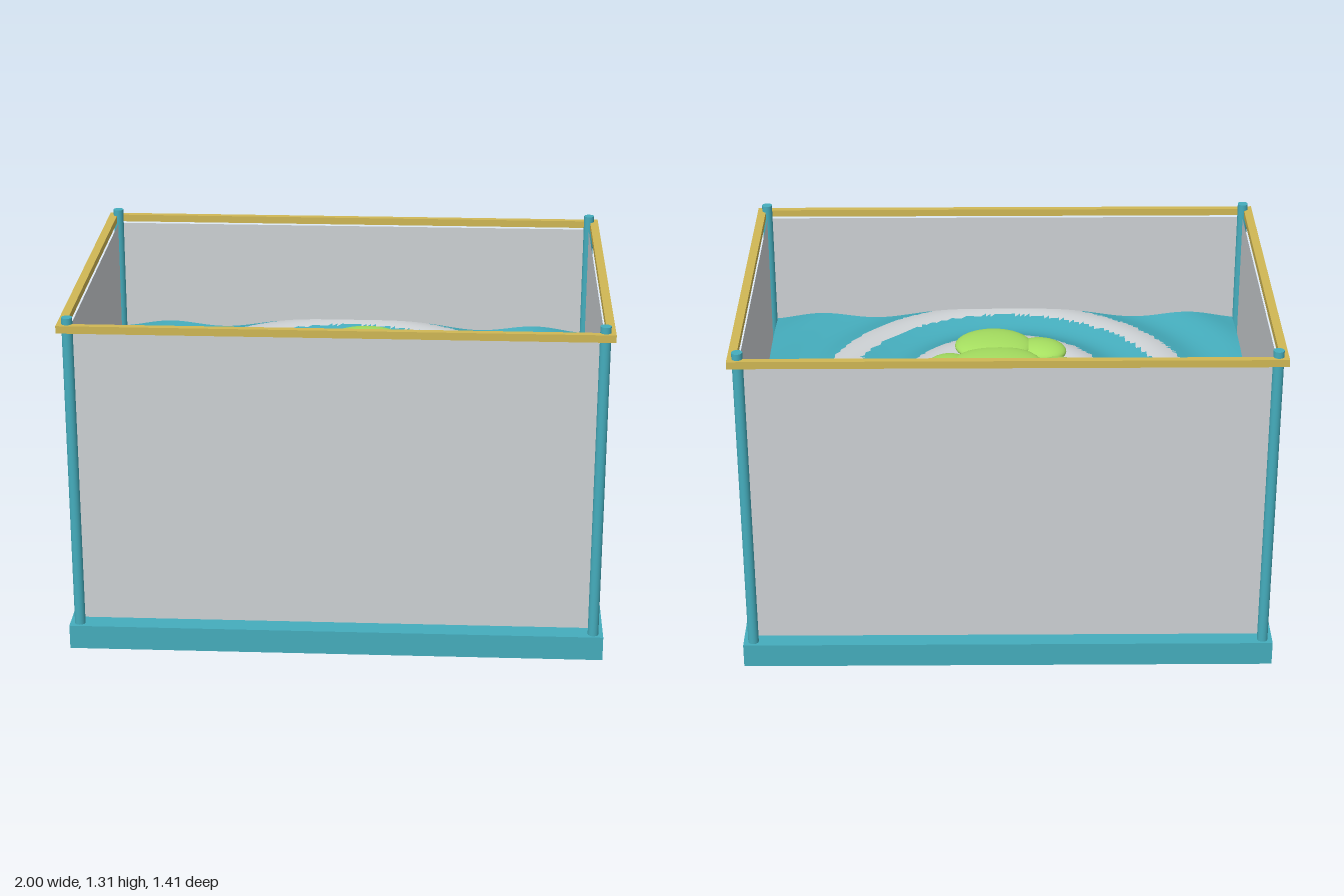
import * as THREE from 'three';

const mat = (name, color, side = THREE.FrontSide) => {
  const m = new THREE.MeshStandardMaterial({ color, side });
  m.name = name;
  return m;
};

export function createModel() {
  const model = new THREE.Group();
  const teal = mat('teal', 0x45adbd);
  const tealSheet = mat('teal water', 0x45adbd, THREE.DoubleSide);
  const paleSheet = mat('pale grey', 0xced2d5, THREE.DoubleSide);
  const gold = mat('gold', 0xd0b855);
  const green = mat('leaf green', 0xa6df60);
  const brown = mat('dark brown', 0x5c5250, THREE.DoubleSide);

  const add = (name, geometry, material, x = 0, y = 0, z = 0) => {
    const mesh = new THREE.Mesh(geometry, material);
    mesh.name = name;
    mesh.position.set(x, y, z);
    model.add(mesh);
    return mesh;
  };

  // Base slab
  add('base', new THREE.BoxGeometry(2, 0.093, 1.41), teal, 0, 0.0465, 0);

  // Corner posts
  for (const sx of [-1, 1]) for (const sz of [-1, 1])
    add('cornerPost', new THREE.CylinderGeometry(0.02, 0.02, 1.22, 24), teal, sx * 0.963, 0.7, sz * 0.675);

  // Wall panels and top rails
  for (const s of [-1, 1]) {
    add('longPanel', new THREE.PlaneGeometry(1.92, 1.135), paleSheet, 0, 0.685, s * 0.675);
    add('shortPanel', new THREE.PlaneGeometry(1.35, 1.135), paleSheet, s * 0.963, 0.685, 0)
      .rotation.y = Math.PI / 2;
    add('longRail', new THREE.BoxGeometry(2, 0.028, 0.026), gold, 0, 1.272, s * 0.692);
    add('shortRail', new THREE.BoxGeometry(0.032, 0.028, 1.41), gold, s * 0.984, 1.272, 0);
  }

  // Thin uneven floor sheet just above the base
  const floor = new THREE.PlaneGeometry(1.88, 1.31, 40, 28).rotateX(-Math.PI / 2);
  const fp = floor.attributes.position;
  for (let i = 0; i < fp.count; i++)
    fp.setY(i, 0.114 + 0.004 * Math.sin(fp.getX(i) * 9) * Math.cos(fp.getZ(i) * 11));
  floor.computeVertexNormals();
  add('floorSheet', floor, brown);

  // Rippled water, higher in the middle, with two pale crest rings
  const water = new THREE.PlaneGeometry(1.88, 1.31, 94, 66).rotateX(-Math.PI / 2);
  const p = water.attributes.position;
  for (let i = 0; i < p.count; i++) {
    const r = Math.hypot(p.getX(i), p.getZ(i));
    p.setY(i, 0.82 + 0.045 * Math.exp(-r * r / 0.5)
      + 0.026 * Math.exp(-r * 0.8) * Math.cos(2 * Math.PI * r / 0.335));
  }
  water.computeVertexNormals();
  const plain = [], crest = [], idx = water.index.array;
  for (let i = 0; i < idx.length; i += 3) {
    const f = [idx[i], idx[i + 1], idx[i + 2]];
    const cx = f.reduce((a, k) => a + p.getX(k), 0) / 3;
    const cz = f.reduce((a, k) => a + p.getZ(k), 0) / 3;
    const r = Math.hypot(cx, cz);
    const pale = (r > 0.275 && r < 0.395) || (r > 0.61 && r < 0.72);
    (pale ? crest : plain).push(...f);
  }
  water.setIndex([...plain, ...crest]);
  water.addGroup(0, plain.length, 0);
  water.addGroup(plain.length, crest.length, 1);
  add('water', water, [tealSheet, paleSheet]);

  // Floating leaf pads: x, y, z, half width, half depth, turn
  const pads = [
    [0.04, 0.925, -0.01, 0.18, 0.148, 0.1],
    [0.07, 0.93, -0.2, 0.155, 0.133, 0.2],
    [0.05, 0.92, 0.175, 0.152, 0.135, 0],
    [-0.2, 0.915, -0.065, 0.105, 0.132, 0],
    [-0.14, 0.905, 0.165, 0.1, 0.085, -0.5],
    [0.22, 0.91, -0.02, 0.1, 0.13, 0],
    [0.19, 0.905, -0.235, 0.065, 0.088, 0],
  ];
  for (const [x, y, z, w, d, turn] of pads) {
    const pad = add('leafPad', new THREE.SphereGeometry(1, 32, 20), green, x, y, z);
    pad.scale.set(w, 0.035, d);
    pad.rotation.y = turn;
  }
  return model;
}
